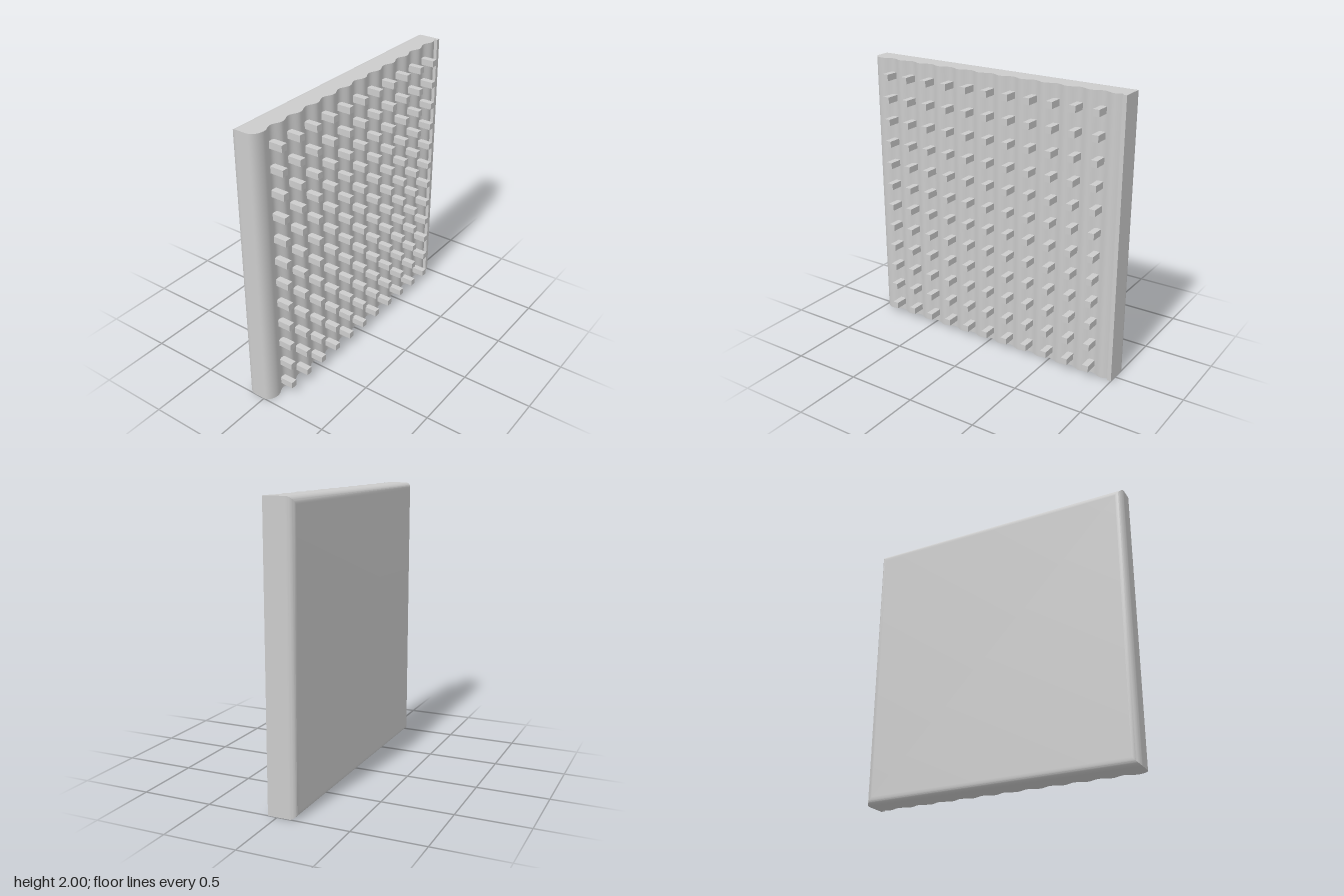
import * as THREE from 'three';
import { toCreasedNormals } from 'three/addons/utils/BufferGeometryUtils.js';

const BACK = -0.135, R = 0.05, PITCH = 1 / 6;

// Corrugated front surface: grooves at every multiple of PITCH along z
const waveX = (z) => 0.033 + 0.027 * Math.sin((Math.PI * z) / PITCH) ** 2;

export function createModel() {
  const group = new THREE.Group();
  const material = new THREE.MeshStandardMaterial({ color: 0xcccccc });
  const add = (name, geometry) => {
    const mesh = new THREE.Mesh(geometry, material);
    mesh.name = name;
    group.add(mesh);
    return mesh;
  };

  // Corrugated slab: plan profile (x, z) extruded upwards
  const profile = [[BACK + R, 1]];
  for (let i = 0; i <= 10; i++) {
    const a = (i / 10) * Math.PI / 2;
    profile.push([0.06 * Math.sin(a), 0.917 + 0.083 * Math.cos(a)]);
  }
  const start = 0.917, end = -0.972, steps = 136;
  for (let i = 1; i <= steps; i++) {
    const z = start + ((end - start) * i) / steps;
    profile.push([waveX(z), z]);
  }
  // Flat lip along the far edge
  profile.push([0.065, end], [0.065, -1], [BACK + R, -1]);
  const shape = new THREE.Shape(profile.map(([x, z]) => new THREE.Vector2(x, -z)));
  const slab = new THREE.ExtrudeGeometry(shape, { depth: 2, bevelEnabled: false });
  slab.rotateX(-Math.PI / 2);
  add('corrugatedPanel', toCreasedNormals(slab, 0.7));

  // Backing with all four rear edges rounded
  const back = new THREE.BoxGeometry(1, 2, 2, 10, 1, 1);
  const p = back.attributes.position;
  for (let i = 0; i < p.count; i++) {
    const a = (0.5 - p.getX(i)) * Math.PI / 2;
    const inset = R * (1 - Math.cos(a));
    p.setXYZ(i, BACK + R - R * Math.sin(a), p.getY(i) * (1 - inset), p.getZ(i) * (1 - inset));
  }
  back.translate(0, 1, 0);
  add('roundedBacking', toCreasedNormals(back, 0.7));

  // Grid of square pegs standing in the grooves
  const pegs = new THREE.Group();
  pegs.name = 'pegs';
  const pegGeometry = new THREE.BoxGeometry(0.115, 0.046, 0.046);
  for (let row = 0; row < 12; row++) {
    for (let col = -5; col <= 5; col++) {
      const peg = new THREE.Mesh(pegGeometry, material);
      peg.name = 'peg';
      peg.position.set(0.0775, 0.08 + row * 0.1637, col * PITCH);
      pegs.add(peg);
    }
  }
  group.add(pegs);
  return group;
}
